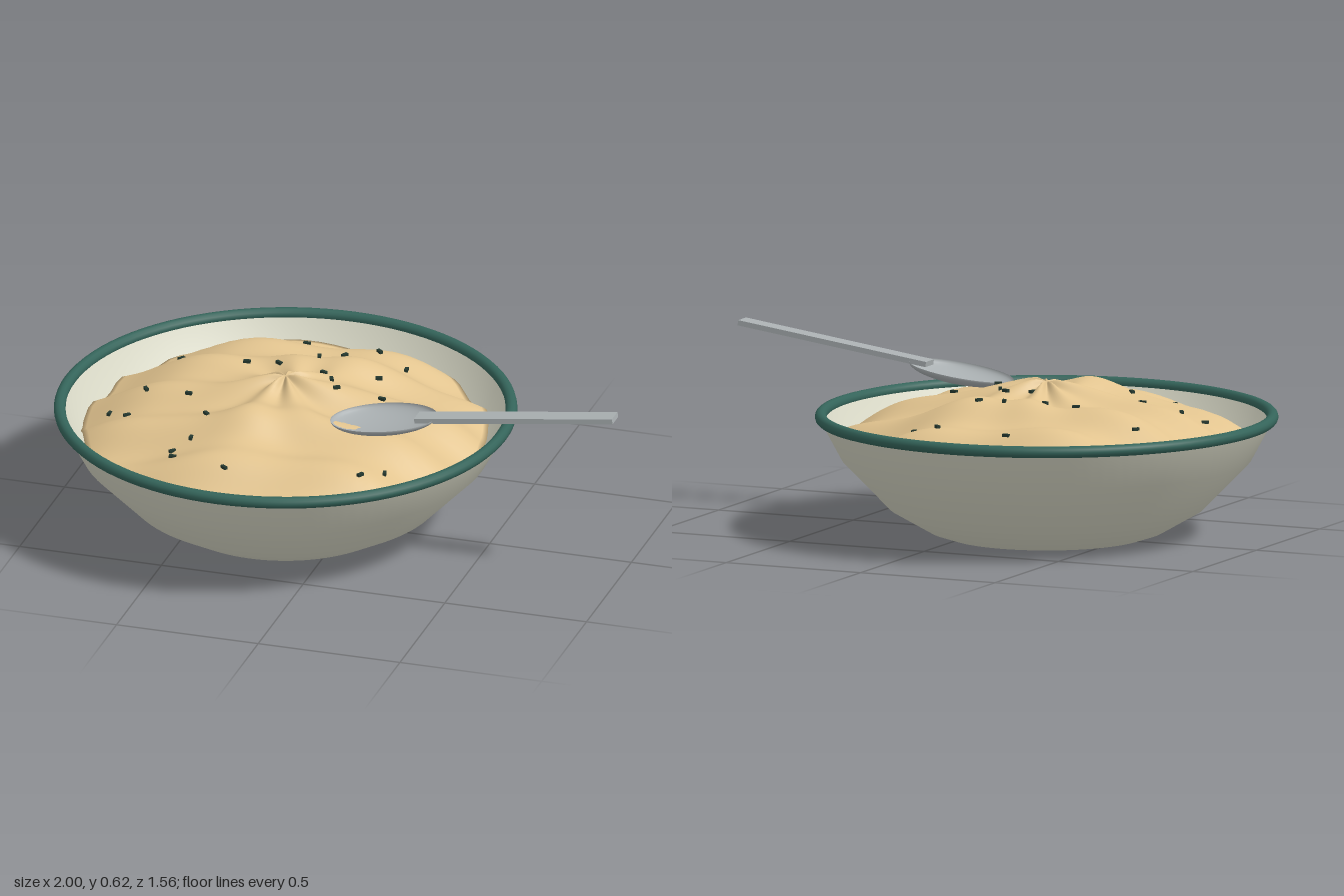
import * as THREE from 'three';
import { mergeVertices } from 'three/addons/utils/BufferGeometryUtils.js';

const CX = -0.22; // bowl axis
const FOOD_R = 0.685;

const mat = (name, color, side = THREE.FrontSide) => {
  const m = new THREE.MeshStandardMaterial({ color, side });
  m.name = name;
  return m;
};

// Height of the rippled mound at a point measured from the bowl axis
function foodHeight(x, z) {
  const r = Math.hypot(x, z), a = Math.atan2(z, x);
  const dome = 0.315 + 0.18 * (1 - (r / 0.7) ** 2);
  const ripples = 0.017 * Math.cos(26 * z + 1.3 * Math.sin(4 * x)) + 0.012 * Math.sin(13 * x + 5 * z + 1);
  const pinch = 0.012 * Math.sin(7 * a + 6 * r) * Math.min(1, r / 0.04) * Math.max(0.3, 1 - r * 1.5);
  return dome + ripples + pinch;
}

function foodGeometry() {
  const geo = new THREE.RingGeometry(0, 1, 96, 40);
  geo.rotateX(-Math.PI / 2);
  geo.deleteAttribute('uv');
  geo.deleteAttribute('normal');
  const p = geo.attributes.position;
  for (let i = 0; i < p.count; i++) {
    const t = Math.hypot(p.getX(i), p.getZ(i));
    const a = Math.atan2(p.getZ(i), p.getX(i));
    const edge = FOOD_R + 0.008 * Math.sin(5 * a + 1) + 0.006 * Math.sin(11 * a);
    // the outermost ring folds down into the bowl
    const r = t > 0.99 ? 0.63 : t * edge / 0.975;
    const x = Math.cos(a) * r, z = Math.sin(a) * r;
    p.setXYZ(i, x, t > 0.99 ? 0.23 : foodHeight(x, z), z);
  }
  const merged = mergeVertices(geo, 1e-5);
  merged.computeVertexNormals();
  return merged;
}

export function createModel() {
  const model = new THREE.Group();
  const glaze = mat('cream glaze', 0xd8d8c6);
  const green = mat('green rim', 0x34645a);
  const foodMat = mat('tan food', 0xe2c48f);
  const metal = mat('spoon metal', 0xaab0b2, THREE.DoubleSide);
  const herb = mat('dark herb', 0x24382f);

  const add = (parent, name, geo, material, x = 0, y = 0, z = 0) => {
    const m = new THREE.Mesh(geo, material);
    m.name = name;
    m.position.set(x, y, z);
    parent.add(m);
    return m;
  };
  const lathe = pts => new THREE.LatheGeometry(pts.map(([x, y]) => new THREE.Vector2(x, y)), 96);

  // Bowl: outer wall, inner wall, base and rolled rim
  const bowl = new THREE.Group();
  bowl.name = 'bowl';
  bowl.position.x = CX;
  model.add(bowl);
  add(bowl, 'outerWall', lathe([[0.34, 0], [0.4, 0.02], [0.53, 0.095], [0.69, 0.26], [0.765, 0.4]]), glaze);
  add(bowl, 'innerWall', lathe([[0.745, 0.4], [0.67, 0.265], [0.51, 0.11], [0.38, 0.04], [0, 0.03]]), glaze);
  add(bowl, 'base', new THREE.CircleGeometry(0.34, 96), glaze).rotation.x = Math.PI / 2;
  add(bowl, 'rim', new THREE.TorusGeometry(0.76, 0.02, 12, 96), green, 0, 0.402).rotation.x = Math.PI / 2;

  // Rippled food mound
  add(model, 'food', foodGeometry(), foodMat, CX);

  // Herb flecks scattered over the food, as x, z pairs
  const flecks = [
    [-0.3, -0.49], [-0.04, -0.48], [0.07, -0.43], [-0.66, -0.23], [-0.41, -0.17],
    [-0.3, -0.18], [-0.18, -0.25], [-0.1, -0.28], [0.04, -0.22], [-0.12, -0.11],
    [-0.08, -0.07], [-0.2, -0.07], [-0.04, 0], [0.11, -0.03], [-0.69, 0.07],
    [-0.8, 0.13], [-0.72, 0.19], [-0.53, 0.1], [-0.42, 0.25], [-0.44, 0.36],
    [-0.49, 0.41], [-0.47, 0.47], [-0.27, 0.53], [0.24, 0.35], [0.18, 0.43],
  ];
  const fleckGeo = new THREE.BoxGeometry(0.024, 0.01, 0.012);
  flecks.forEach(([x, z], i) => {
    const f = add(model, 'herbFleck', fleckGeo, herb, x, foodHeight(x - CX, z) + 0.004, z);
    f.rotation.y = i * 2.4;
  });

  // Spoon: shallow half-ellipsoid scoop and a flat handle, both tilted up to the right
  const spoon = new THREE.Group();
  spoon.name = 'spoon';
  spoon.position.set(0.185, 0.505, 0.185);
  spoon.rotation.z = 0.135;
  model.add(spoon);
  const scoop = new THREE.SphereGeometry(1, 40, 12, 0, Math.PI * 2, Math.PI / 2, Math.PI / 2);
  scoop.scale(0.187, 0.042, 0.125);
  add(spoon, 'scoop', scoop, metal);
  add(spoon, 'handle', new THREE.BoxGeometry(0.705, 0.018, 0.063), metal, 0.471, 0, 0);

  return model;
}
